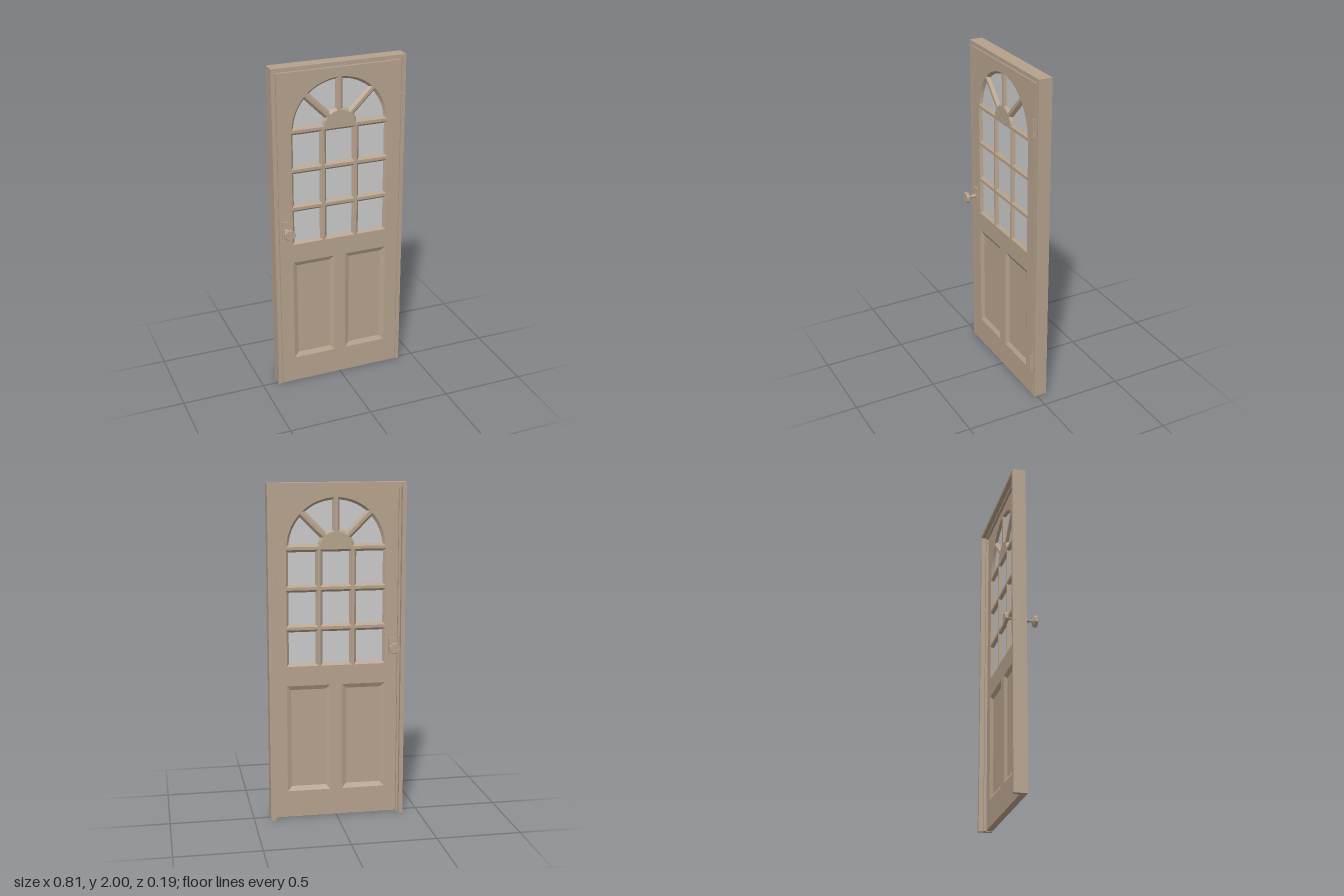
import * as THREE from 'three';

const wood = new THREE.MeshStandardMaterial({ color: 0xb5a18c });
wood.name = 'painted wood';
const glass = new THREE.MeshStandardMaterial({ color: 0xc8c9c8 });
glass.name = 'pale glass';

const FRONT = 0.017, BACK = -0.02, MID = (FRONT + BACK) / 2;
const V = (x, y) => new THREE.Vector2(x, y);

function add(parent, name, geometry, material = wood) {
  const mesh = new THREE.Mesh(geometry, material);
  mesh.name = name;
  parent.add(mesh);
  return mesh;
}

function box(parent, name, x0, x1, y0, y1, z0, z1) {
  const g = new THREE.BoxGeometry(x1 - x0, y1 - y0, z1 - z0);
  return add(parent, name, g.translate((x0 + x1) / 2, (y0 + y1) / 2, (z0 + z1) / 2));
}

// Counter-clockwise outlines
const rect = (x0, x1, y0, y1) => [V(x0, y0), V(x1, y0), V(x1, y1), V(x0, y1)];

function fanPane(cy, a0, a1, rIn, rOut, gap) {
  const pts = [];
  const arc = (r, from, to, n) => {
    for (let i = 0; i <= n; i++) {
      const a = from + (to - from) * i / n;
      pts.push(V(r * Math.cos(a), cy + r * Math.sin(a)));
    }
  };
  const o = Math.asin(gap / rOut), k = Math.asin(gap / rIn);
  arc(rOut, a0 + o, a1 - o, 8);
  arc(rIn, a1 - k, a0 + k, 4);
  return pts;
}

// Moves each side of an outline inwards, with mitred corners
function inset(pts, d) {
  return pts.map((p, i) => {
    const n = pts.length;
    const e = p.clone().sub(pts[(i + n - 1) % n]).normalize();
    const f = pts[(i + 1) % n].clone().sub(p).normalize();
    const m = V(-e.y - f.y, e.x + f.x);
    return p.clone().addScaledVector(m, d / (1 + e.dot(f)));
  });
}

// Flat-faced band joining two outlines at different depths
function band(a, za, b, zb, flip = false) {
  const pos = [];
  a.forEach((_, i) => {
    const j = (i + 1) % a.length;
    const q = [[a[i], za], [a[j], za], [b[j], zb], [b[i], zb]];
    const order = flip ? [0, 2, 1, 0, 3, 2] : [0, 1, 2, 0, 2, 3];
    for (const k of order) pos.push(q[k][0].x, q[k][0].y, q[k][1]);
  });
  const g = new THREE.BufferGeometry();
  g.setAttribute('position', new THREE.Float32BufferAttribute(pos, 3));
  g.computeVertexNormals();
  return g;
}

// Flat sheet at one depth, facing the front or the back
function sheet(pts, z, back, holes = []) {
  const shape = new THREE.Shape(pts);
  shape.holes = holes.map(h => new THREE.Path(h));
  const g = new THREE.ShapeGeometry(shape);
  if (back) {
    const ix = g.index.array;
    for (let i = 0; i < ix.length; i += 3) [ix[i], ix[i + 1]] = [ix[i + 1], ix[i]];
    g.computeVertexNormals();
  }
  return g.translate(0, 0, z);
}

function makeFrame() {
  const frame = new THREE.Group();
  frame.name = 'doorFrame';
  for (const s of [-1, 1]) {
    const side = s < 0 ? 'right' : 'left';
    const span = (a, b) => s < 0 ? [-b, -a] : [a, b];
    box(frame, side + 'Jamb', ...span(0.379, 0.403), 0, 2, -0.064, FRONT);
    box(frame, side + 'Stop', ...span(0.366, 0.379), 0, 1.976, -0.036, BACK - 0.001);
  }
  box(frame, 'headJamb', -0.379, 0.379, 1.976, 2, -0.064, FRONT);
  box(frame, 'headStop', -0.366, 0.366, 1.963, 1.976, -0.036, BACK - 0.001);
  return frame;
}

function makeLeaf() {
  const leaf = new THREE.Group();
  leaf.name = 'doorLeaf';
  const outline = rect(-0.375, 0.375, 0.003, 1.971);

  // Nine square panes below a four-part fan
  const panes = [];
  for (const y of [0.932, 1.166, 1.4])
    for (const x of [-0.2, 0, 0.2]) panes.push(rect(x - 0.093, x + 0.093, y, y + 0.217));
  for (let i = 0; i < 4; i++)
    panes.push(fanPane(1.625, i * Math.PI / 4, (i + 1) * Math.PI / 4, 0.095, 0.29, 0.009));
  const panels = [-1, 1].map(s => rect(s * 0.165 - 0.13, s * 0.165 + 0.13, 0.165, 0.815));

  add(leaf, 'leafEdges', band(outline, FRONT, outline, BACK, true));
  for (const back of [false, true]) {
    const z = back ? BACK : FRONT, dir = back ? 1 : -1;
    add(leaf, back ? 'backFace' : 'frontFace', sheet(outline, z, back, [...panes, ...panels]));
    for (const p of panes) {
      const inner = inset(p, 0.014), zg = MID - dir * 0.002;
      add(leaf, 'paneMoulding', band(p, z, inner, zg, back));
      add(leaf, 'windowPane', sheet(inner, zg, back), glass);
    }
    for (const p of panels) {
      const inner = inset(p, 0.027);
      add(leaf, 'panelBevel', band(p, z, inner, z + dir * 0.014, back));
      add(leaf, 'panelField', sheet(inner, z + dir * 0.014, back));
    }
  }
  return leaf;
}

// Back plate and eight-sided turned knob, pointing along +z
function makeKnob() {
  const knob = new THREE.Group();
  box(knob, 'knobPlate', -0.021, 0.021, -0.055, 0.055, 0, 0.008);
  const profile = [[0.014, 0.008], [0.014, 0.013], [0.009, 0.016], [0.012, 0.023], [0.009, 0.031],
    [0.006, 0.041], [0.008, 0.047], [0.02, 0.054], [0.032, 0.058], [0.034, 0.061],
    [0.034, 0.074], [0.031, 0.078], [0, 0.078]].map(p => V(...p));
  const g = new THREE.LatheGeometry(profile, 8, Math.PI / 8).rotateX(Math.PI / 2).toNonIndexed();
  g.computeVertexNormals();
  add(knob, 'knobHandle', g);
  return knob;
}

function makeHinge(y) {
  const hinge = new THREE.Group();
  hinge.name = 'hinge';
  const pin = new THREE.CylinderGeometry(0.005, 0.005, 0.105, 8);
  add(hinge, 'hingePin', pin.translate(0.376, y, 0.029));
  box(hinge, 'hingePlate', 0.3745, 0.3775, y - 0.052, y + 0.052, -0.015, 0.028);
  return hinge;
}

export function createModel() {
  const door = new THREE.Group();
  door.name = 'door';
  door.add(makeFrame(), makeLeaf(), makeHinge(1.723), makeHinge(0.223));
  const front = makeKnob(), back = makeKnob();
  front.name = 'frontKnob';
  front.position.set(-0.337, 1.033, FRONT);
  back.name = 'backKnob';
  back.position.set(-0.337, 1.033, BACK);
  back.rotation.y = Math.PI;
  door.add(front, back);
  return door;
}
